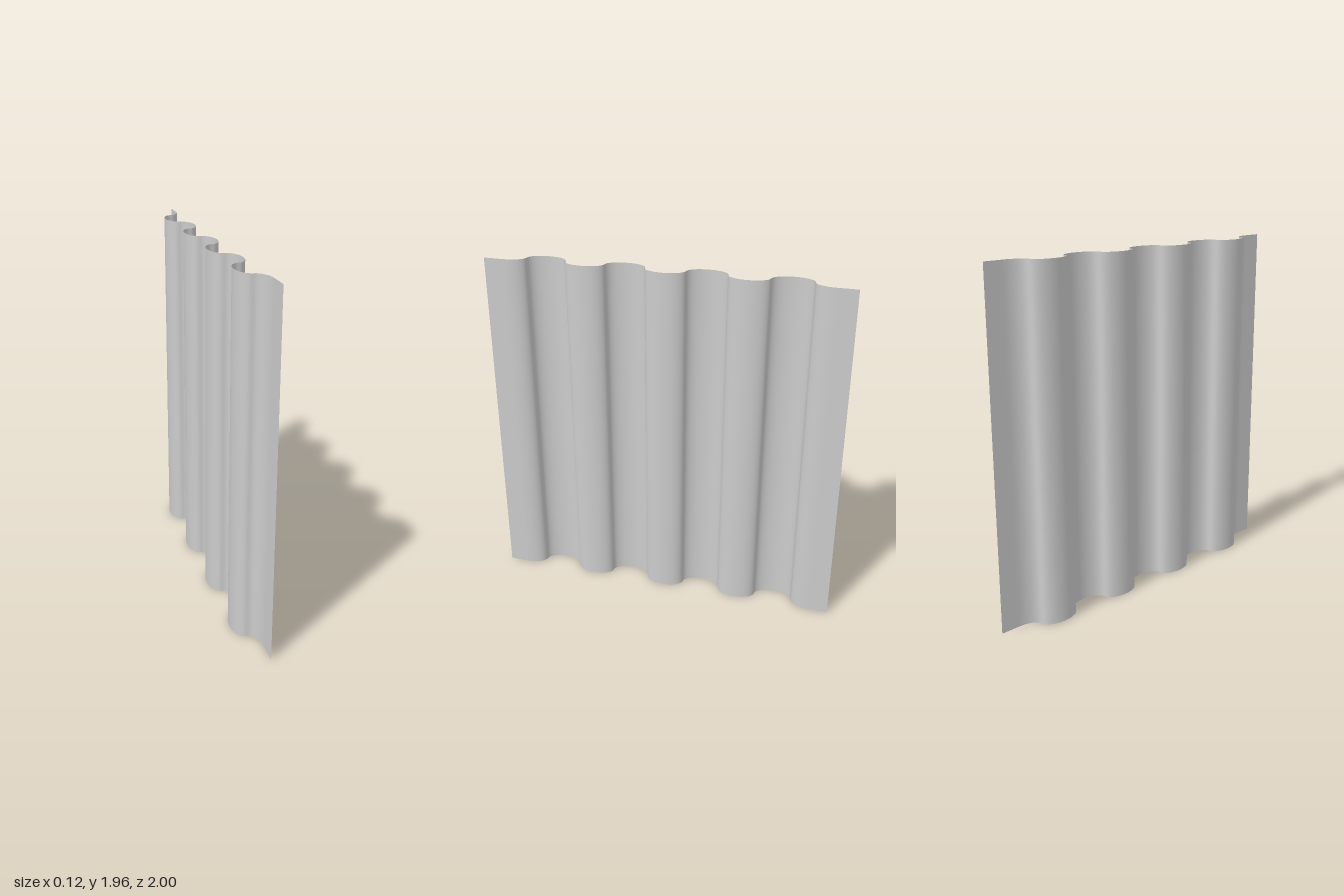
import * as THREE from 'three';

const HEIGHT = 1.96, LENGTH = 2, DEPTH = 0.06, BAYS = 9, STEPS = 16;

// Point on the corrugation: half-ellipse bays bulging alternately to +x and -x,
// with the outer half of each end bay running out flat.
function profile(i) {
  const bay = Math.min(Math.floor(i / STEPS), BAYS - 1);
  const angle = Math.PI * (i - bay * STEPS) / STEPS;
  const z = -LENGTH / 2 + (bay + 0.5 - 0.5 * Math.cos(angle)) * LENGTH / BAYS;
  const flatEnd = (bay === 0 && angle < Math.PI / 2) ||
    (bay === BAYS - 1 && angle > Math.PI / 2);
  const bulge = flatEnd ? 1 : Math.sin(angle);
  return { x: (bay % 2 ? -1 : 1) * DEPTH * bulge, z };
}

export function createModel() {
  const group = new THREE.Group();
  group.name = 'corrugatedPanel';

  // Thin sheet: a plane facing +x, each column moved onto the profile
  const columns = BAYS * STEPS;
  const geometry = new THREE.PlaneGeometry(LENGTH, HEIGHT, columns, 1);
  const position = geometry.attributes.position;
  for (let v = 0; v < position.count; v++) {
    const { x, z } = profile(columns - v % (columns + 1));
    position.setXYZ(v, x, position.getY(v) + HEIGHT / 2, z);
  }
  geometry.computeVertexNormals();

  const sheet = new THREE.Mesh(geometry, new THREE.MeshStandardMaterial({
    color: 0xcccccc, side: THREE.DoubleSide,
  }));
  sheet.name = 'corrugatedSheet';
  group.add(sheet);
  return group;
}
